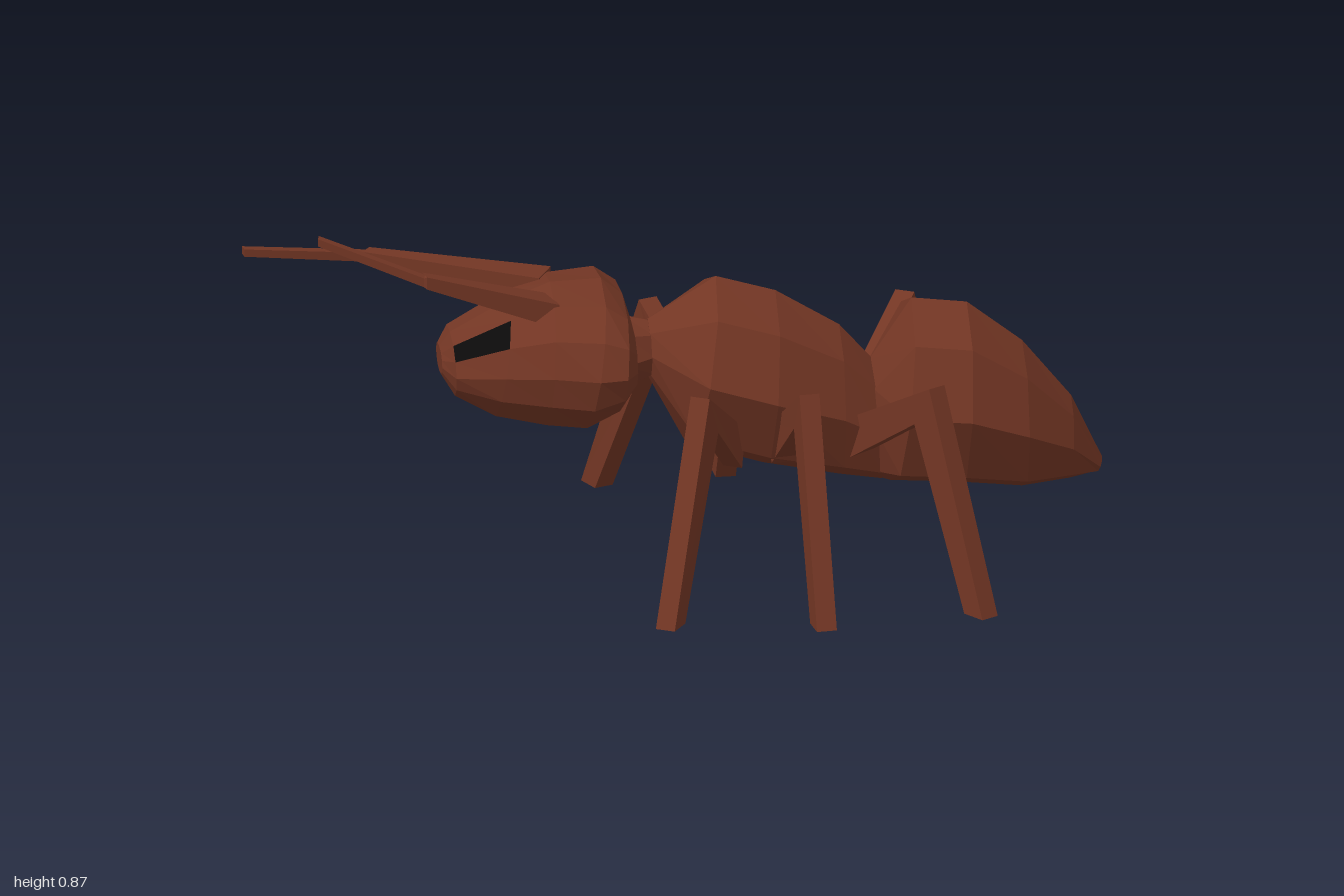
import * as THREE from 'three';

const V = (x, y, z) => new THREE.Vector3(x, y, z);
const MID = 0.05; // z of the body's plane of symmetry

// Skin a list of equal-length rings with flat faces; accent(section, side) picks material 1
function loft(rings, accent = () => false) {
  const faces = [[], []];
  const n = rings[0].length;
  const last = rings[rings.length - 1];
  for (let k = 0; k < rings.length - 1; k++) {
    for (let i = 0; i < n; i++) {
      const j = (i + 1) % n;
      const [a, b, c, d] = [rings[k][i], rings[k][j], rings[k + 1][j], rings[k + 1][i]];
      faces[accent(k, i) ? 1 : 0].push(a, b, c, a, c, d);
    }
  }
  for (let i = 1; i < n - 1; i++) {
    faces[0].push(rings[0][0], rings[0][i + 1], rings[0][i], last[0], last[i], last[i + 1]);
  }
  const geo = new THREE.BufferGeometry().setFromPoints([...faces[0], ...faces[1]]);
  geo.addGroup(0, faces[0].length, 0);
  if (faces[1].length) geo.addGroup(faces[0].length, faces[1].length, 1);
  geo.computeVertexNormals();
  return geo;
}

// Body section: top point, bottom point and half width, shaped by a unit outline of [z, y]
function section([xt, yt, xb, yb, w], outline) {
  return outline.map(([z, y]) => {
    const t = (y + 1) / 2;
    return V(xb + (xt - xb) * t, yb + (yt - yb) * t, MID + z * w);
  });
}

// Four-cornered limb ring: centre, offset o and side vector s
const limbRing = (c, o, s) => [[1, -1], [1, 1], [-1, 1], [-1, -1]].map(([p, q]) =>
  c.clone().addScaledVector(o, p).addScaledVector(s, q));

export function createModel() {
  const model = new THREE.Group();
  model.name = 'ant';
  const brown = new THREE.MeshStandardMaterial({ color: 0x733624 });
  brown.name = 'rustBrown';
  const black = new THREE.MeshStandardMaterial({ color: 0x0b0a0a });
  black.name = 'eyeBlack';
  const add = (name, geo, material = [brown]) => {
    const mesh = new THREE.Mesh(geo, material);
    mesh.name = name;
    model.add(mesh);
  };

  const octagon = Array.from({ length: 8 }, (_, i) =>
    [Math.sin(i * Math.PI / 4), Math.cos(i * Math.PI / 4)]);
  const half = [[0.6, 0.88], [0.89, 0.5], [1, 0], [0.89, -0.45], [0.55, -0.85]];
  const headOutline = [[0, 1], ...half, [0, -1], ...half.map(([z, y]) => [-z, y]).reverse()];

  // Head, with the eyes on the upper front side faces
  const headSections = [
    [-0.56, 0.55, -0.56, 0.49, 0.07],
    [-0.535, 0.585, -0.53, 0.44, 0.13],
    [-0.40, 0.66, -0.44, 0.385, 0.175],
    [-0.30, 0.70, -0.32, 0.36, 0.21],
    [-0.18, 0.705, -0.23, 0.355, 0.245],
    [-0.13, 0.665, -0.15, 0.40, 0.24],
    [-0.11, 0.60, -0.11, 0.45, 0.17],
  ];
  add('head', loft(headSections.map(s => section(s, headOutline)),
    (k, i) => k === 1 && (i === 1 || i === 10)), [brown, black]);

  // Neck, thorax and abdomen
  const body = {
    neck: [
      [-0.13, 0.61, -0.13, 0.44, 0.12],
      [-0.06, 0.595, -0.06, 0.46, 0.07],
    ],
    thorax: [
      [-0.07, 0.60, -0.07, 0.46, 0.07],
      [0.09, 0.70, 0.02, 0.29, 0.215],
      [0.23, 0.66, 0.20, 0.235, 0.215],
      [0.38, 0.57, 0.38, 0.20, 0.16],
      [0.46, 0.48, 0.48, 0.185, 0.125],
    ],
    abdomen: [
      [0.45, 0.48, 0.47, 0.19, 0.13],
      [0.55, 0.63, 0.50, 0.18, 0.23],
      [0.68, 0.615, 0.66, 0.17, 0.23],
      [0.81, 0.515, 0.81, 0.155, 0.178],
      [0.925, 0.375, 0.92, 0.17, 0.095],
      [0.998, 0.22, 0.985, 0.185, 0.025],
    ],
  };
  for (const [name, sections] of Object.entries(body)) {
    add(name, loft(sections.map(s => section(s, octagon))));
  }

  // Legs: hip, knee and foot as [x, z]
  const legs = {
    frontLeftLeg: [[0.12, 0.18], [0.03, 0.37], [-0.065, 0.515]],
    middleLeftLeg: [[0.23, 0.16], [0.27, 0.37], [0.29, 0.557]],
    rearLeftLeg: [[0.40, 0.14], [0.56, 0.355], [0.665, 0.51]],
    frontRightLeg: [[0.07, -0.08], [-0.02, -0.30], [-0.13, -0.515]],
    middleRightLeg: [[0.20, -0.06], [0.183, -0.30], [0.172, -0.557]],
    rearRightLeg: [[0.42, -0.02], [0.56, -0.29], [0.68, -0.49]],
  };
  const up = V(0, 1, 0);
  for (const [name, [hip, knee, foot]] of Object.entries(legs)) {
    const out = V(foot[0] - hip[0], 0, foot[1] - hip[1]).normalize();
    const side = out.clone().cross(up).multiplyScalar(0.024);
    const offset = (r, y) => out.clone().multiplyScalar(r).setY(y);
    add(name, loft([
      limbRing(V(hip[0], 0.32, hip[1]), offset(-0.01, 0.045), side),
      limbRing(V(knee[0], 0.47, knee[1]), offset(0.026, 0.05), side),
      limbRing(V(foot[0], 0, foot[1]), offset(0.032, 0), side),
    ]));
  }

  // Antennae: thick tapering base, then a thinner tip
  const antennae = {
    leftAntenna: [V(-0.30, 0.655, 0.13), V(-0.61, 0.765, 0.2), V(-0.855, 0.857, 0.155)],
    rightAntenna: [V(-0.30, 0.655, -0.06), V(-0.70, 0.68, -0.235), V(-0.995, 0.715, -0.195)],
  };
  for (const [name, [base, elbow, tip]] of Object.entries(antennae)) {
    const ring = (c, dir, w, h) => limbRing(c, V(0, h, 0),
      dir.clone().cross(up).normalize().multiplyScalar(w));
    const lower = elbow.clone().sub(base);
    const upper = tip.clone().sub(elbow);
    add(name, loft([
      ring(base, lower, 0.045, 0.03),
      ring(elbow, lower, 0.019, 0.015),
      ring(elbow, upper, 0.013, 0.011),
      ring(tip, upper, 0.012, 0.009),
    ]));
  }
  return model;
}
